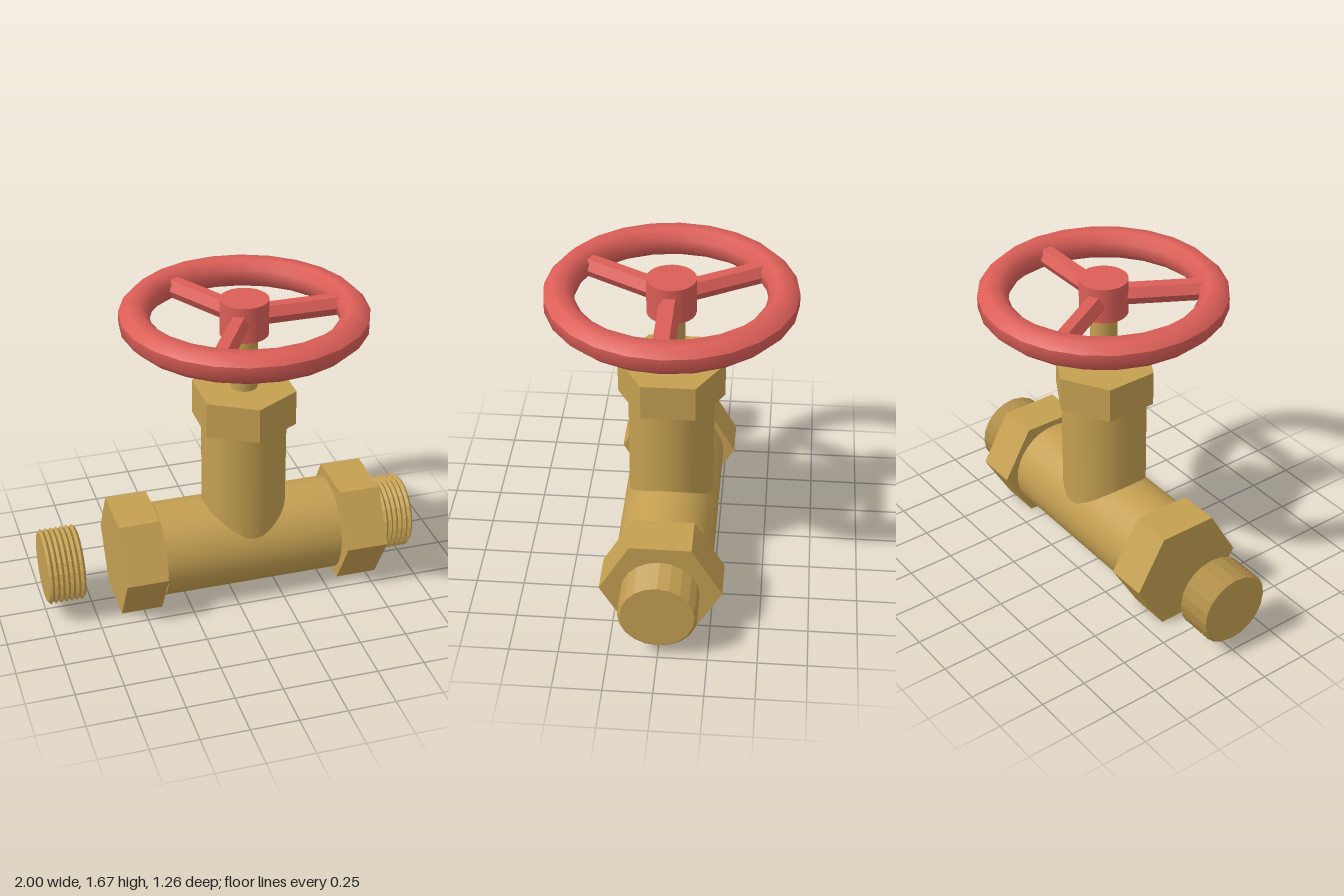
import * as THREE from 'three';

const AXIS_Y = 0.27;   // height of the pipe axis
const STEM_X = 0.095;  // x of the vertical stem axis
const WHEEL_Y = 1.575;

export function createModel() {
  const brass = new THREE.MeshStandardMaterial({ color: 0xc49f51 });
  brass.name = 'brass';
  const red = new THREE.MeshStandardMaterial({ color: 0xdb5e57 });
  red.name = 'red paint';
  const model = new THREE.Group();
  model.name = 'gateValve';

  const add = (parent, name, geometry, material) => {
    const mesh = new THREE.Mesh(geometry, material);
    mesh.name = name;
    parent.add(mesh);
    return mesh;
  };
  const faceted = (geometry) => {
    const g = geometry.toNonIndexed();
    g.computeVertexNormals();
    return g;
  };
  // Cylinder standing on the stem axis
  const upright = (r, y0, y1, sides) =>
    new THREE.CylinderGeometry(r, r, y1 - y0, sides).translate(STEM_X, (y0 + y1) / 2, 0);
  // Cylinder lying on the pipe axis
  const lying = (r, x0, x1, sides) =>
    new THREE.CylinderGeometry(r, r, x1 - x0, sides)
      .rotateZ(-Math.PI / 2).translate((x0 + x1) / 2, AXIS_Y, 0);

  // Pipe body and its hexagonal union nuts
  add(model, 'pipeBody', lying(0.25, -0.385, 0.57, 32), brass);
  add(model, 'leftNut', faceted(lying(0.311, 0.585, 0.805, 6)), brass);
  add(model, 'rightNut', faceted(lying(0.311, -0.62, -0.4, 6)), brass);

  // Threaded ends: sawtooth ridges closed by flat caps
  const threadGeometry = () => {
    const length = 0.193, ridges = 7, pitch = length / ridges;
    const profile = [new THREE.Vector2(0, 0), new THREE.Vector2(0.185, 0)];
    for (let i = 0; i < ridges; i++) {
      profile.push(new THREE.Vector2(0.2, (i + 0.5) * pitch));
      profile.push(new THREE.Vector2(0.185, (i + 1) * pitch));
    }
    profile.push(new THREE.Vector2(0, length));
    return faceted(new THREE.LatheGeometry(profile, 20)).rotateZ(-Math.PI / 2);
  };
  add(model, 'leftThread', threadGeometry(), brass).position.set(0.807, AXIS_Y, 0);
  add(model, 'rightThread', threadGeometry(), brass).position.set(-1, AXIS_Y, 0);

  // Bonnet, packing nut and stem
  add(model, 'bonnet', upright(0.222, AXIS_Y, 1, 32), brass);
  add(model, 'bonnetNut', faceted(upright(0.275, 0.99, 1.18, 6)), brass);
  add(model, 'stem', upright(0.07, 1.1, 1.5, 20), brass);

  // Handwheel: octagonal-section rim, hub and three hexagonal spokes
  const wheel = new THREE.Group();
  wheel.name = 'handwheel';
  wheel.position.set(STEM_X, WHEEL_Y, 0);
  model.add(wheel);
  const section = [];
  for (let i = 0; i <= 8; i++) {
    const a = (i + 0.5) * Math.PI / 4;
    section.push(new THREE.Vector2(0.555 + 0.081 * Math.cos(a), 0.081 * Math.sin(a)));
  }
  add(wheel, 'rim', new THREE.LatheGeometry(section, 24), red);
  add(wheel, 'hub', new THREE.CylinderGeometry(0.125, 0.125, 0.19, 24), red);
  for (let i = 0; i < 3; i++) {
    const spoke = new THREE.CylinderGeometry(0.056, 0.056, 0.5, 6)
      .rotateZ(-Math.PI / 2).translate(0.33, 0, 0);
    add(wheel, 'spoke' + (i + 1), faceted(spoke), red).rotation.y = i * Math.PI * 2 / 3;
  }
  return model;
}
